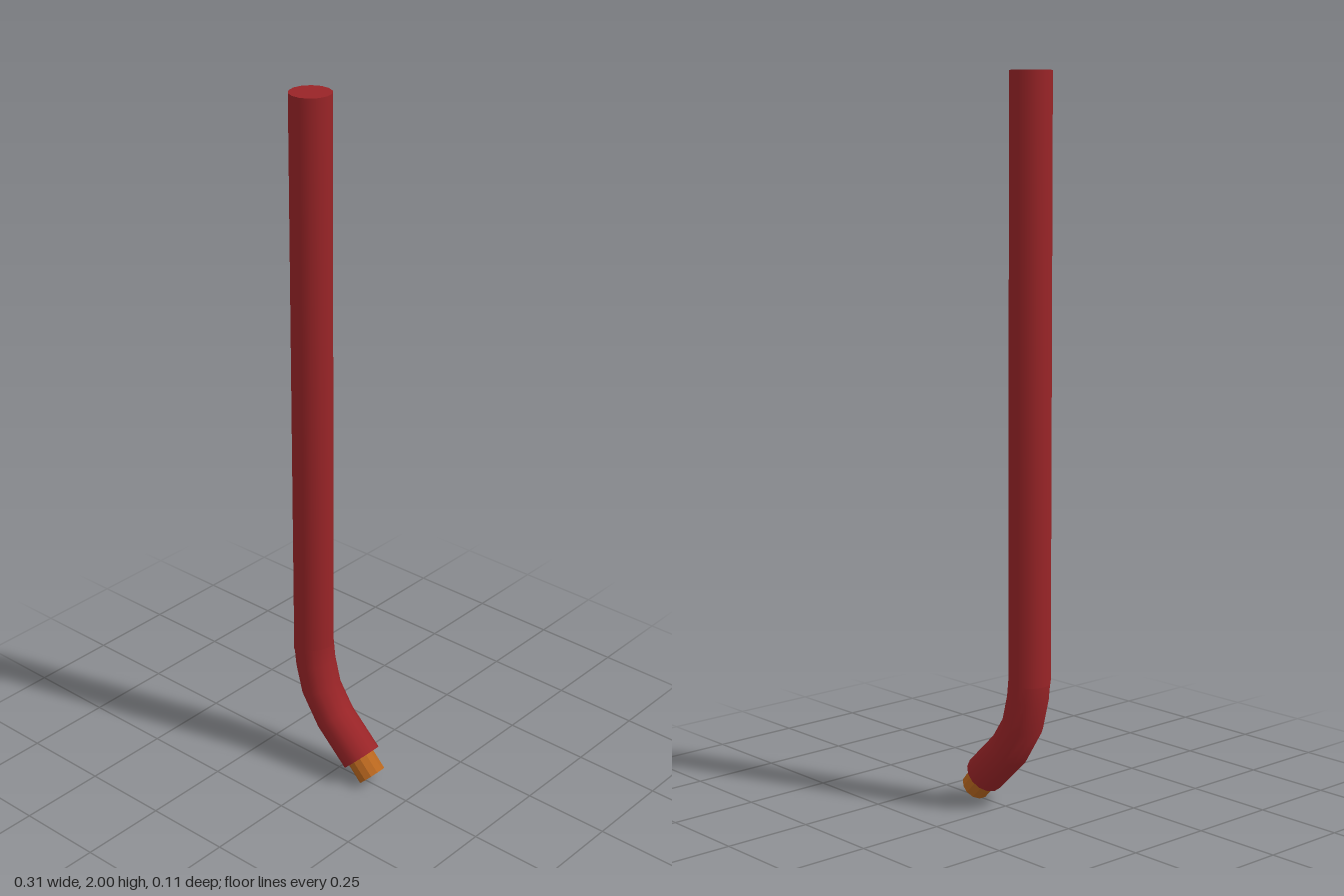
import * as THREE from 'three';

const RADIUS = 0.057, SIDES = 14, TILT = Math.PI / 4;

// Ring centres down the elbow: x, y and tilt in radians
const RINGS = [
  [-0.097, 0.39, 0.06],
  [-0.09, 0.328, 0.2],
  [-0.069, 0.248, 0.36],
  [-0.016, 0.168, 0.72],
  [0.084, 0.073, TILT],
];

// Bend a straight open cylinder by carrying each ring to its place
function bentTube() {
  const n = RINGS.length;
  const geo = new THREE.CylinderGeometry(RADIUS, RADIUS, 1, SIDES, n - 1, true, Math.PI / 2);
  const pos = geo.attributes.position, nor = geo.attributes.normal;
  const axis = new THREE.Vector3(0, 0, 1), v = new THREE.Vector3();
  for (let i = 0; i < pos.count; i++) {
    const [x, y, tilt] = RINGS[Math.round((0.5 - pos.getY(i)) * (n - 1))];
    v.set(pos.getX(i), 0, pos.getZ(i)).applyAxisAngle(axis, tilt);
    pos.setXYZ(i, v.x + x, v.y + y, v.z);
    v.fromBufferAttribute(nor, i).applyAxisAngle(axis, tilt);
    nor.setXYZ(i, v.x, v.y, v.z);
  }
  return geo;
}

export function createModel() {
  const red = new THREE.MeshStandardMaterial({ color: 0x992427 });
  red.name = 'dark red';
  const orange = new THREE.MeshStandardMaterial({ color: 0xb8661e });
  orange.name = 'copper orange';

  const group = new THREE.Group();
  group.name = 'bentPipe';
  const add = (name, geo, mat) => {
    const mesh = new THREE.Mesh(geo, mat);
    mesh.name = name;
    group.add(mesh);
    return mesh;
  };

  // Long straight shaft
  const bottom = 0.37;
  add('shaft', new THREE.CylinderGeometry(RADIUS, RADIUS, 2 - bottom, SIDES, 1, false, Math.PI / 2), red)
    .position.set(-0.097, (2 + bottom) / 2, 0);

  // Elbow and its closed lower end
  add('elbow', bentTube(), red);
  const end = RINGS[RINGS.length - 1];
  const cap = new THREE.CircleGeometry(RADIUS, SIDES).rotateX(Math.PI / 2).rotateZ(TILT);
  add('elbowEnd', cap, red).position.set(end[0], end[1], 0);

  // Narrow faceted tip along the lower axis, sunk slightly into the elbow
  const tip = new THREE.CylinderGeometry(0.041, 0.041, 0.08, 12, 1, false, Math.PI / 12)
    .toNonIndexed();
  tip.computeVertexNormals();
  const tipMesh = add('tip', tip, orange);
  tipMesh.rotation.z = TILT;
  tipMesh.position.set(0.124 - 0.04 * Math.SQRT1_2, 0.028 + 0.04 * Math.SQRT1_2, 0);

  return group;
}
